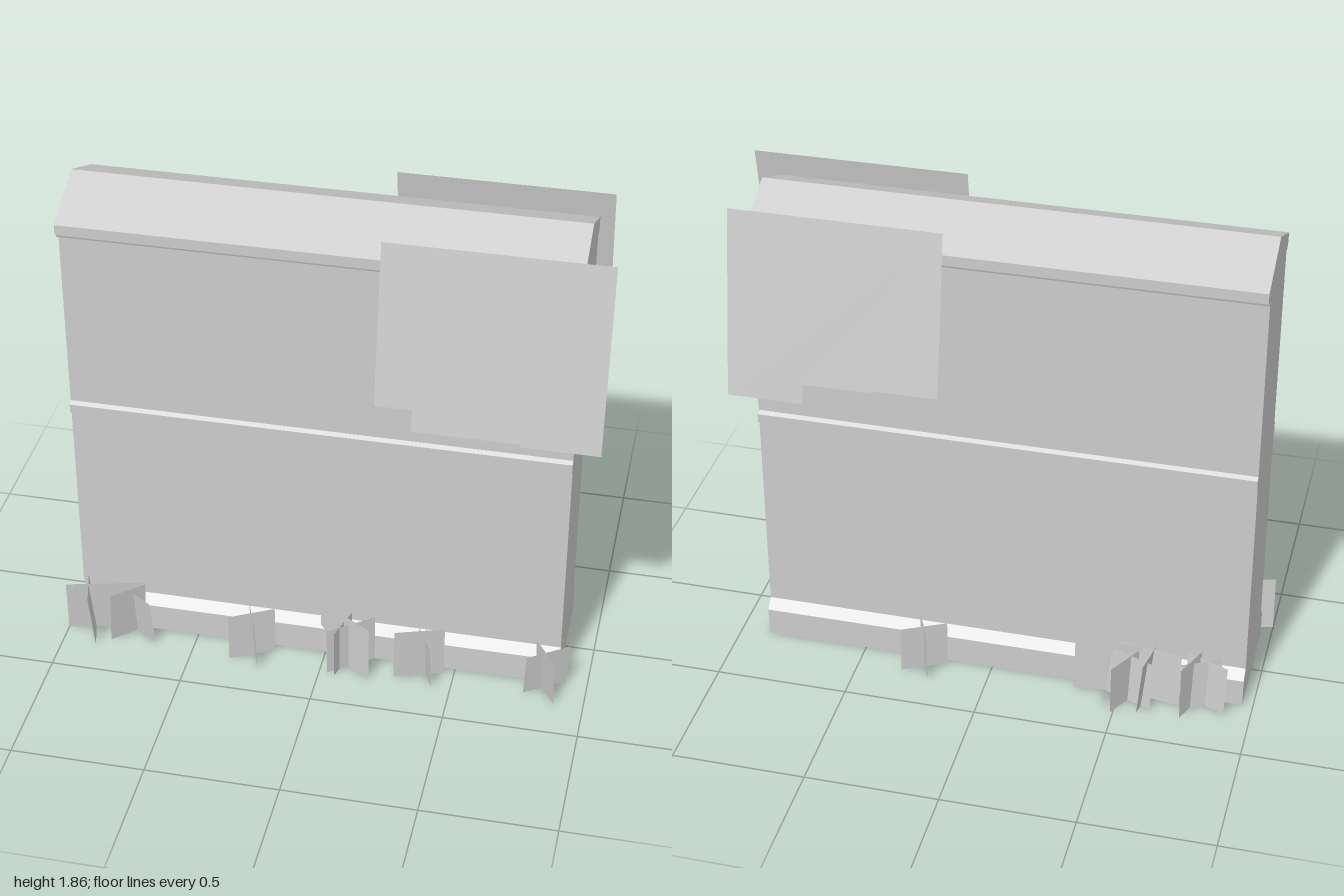
import * as THREE from 'three';

export function createModel() {
  const group = new THREE.Group();
  const stone = new THREE.MeshStandardMaterial({ color: 0xcccccc, side: THREE.DoubleSide });
  stone.name = 'pale grey';

  const add = (name, geometry, parent = group) => {
    const mesh = new THREE.Mesh(geometry, stone);
    mesh.name = name;
    parent.add(mesh);
    return mesh;
  };

  // Wall with plinth, band and gabled coping: half profile [z, y], mirrored and swept along x
  const half = [
    [0.22, 0], [0.22, 0.11], [0.185, 0.145],
    [0.185, 0.945], [0.2, 0.955], [0.2, 0.99], [0.185, 1.0],
    [0.185, 1.71], [0.21, 1.705], [0.215, 1.718], [0.225, 1.72], [0.225, 1.76],
  ];
  const profile = [...half, [0, 1.86], ...half.map(([z, y]) => [-z, y]).reverse()];
  const wall = new THREE.ExtrudeGeometry(
    new THREE.Shape(profile.map(([z, y]) => new THREE.Vector2(-z, y))),
    { depth: 1.85, bevelEnabled: false });
  wall.rotateY(Math.PI / 2).translate(-0.96, 0, 0);
  add('wall', wall);

  // Hanging ivy sheets: stepped outline in x and y, leaning out towards the bottom
  const ivySheet = (name, outline, side) => {
    const g = new THREE.ShapeGeometry(new THREE.Shape(outline.map(([x, y]) => new THREE.Vector2(x, y))));
    const p = g.attributes.position;
    for (let i = 0; i < p.count; i++) {
      p.setZ(i, side * (0.235 + (1.85 - p.getY(i)) * 0.17));
    }
    if (side < 0) g.setIndex([...g.index.array].reverse());
    g.computeVertexNormals();
    add(name, g);
  };
  ivySheet('frontIvy', [[0.2, 1.84], [0.2, 1.24], [0.335, 1.24], [0.335, 1.16],
    [0.72, 1.16], [0.72, 1.15], [1, 1.15], [1, 1.84]], 1);
  ivySheet('backIvy', [[0.165, 1.85], [0.165, 1.245], [0.4, 1.245], [0.4, 1.235],
    [0.66, 1.235], [0.66, 1.16], [0.94, 1.16], [0.94, 1.85]], -1);

  // Upright grass cards: [x1, z1, x2, z2, height, lean]
  const frontGrass = [
    [-1, 0.28, -0.72, 0.21, 0.22, 0.015], [-0.91, 0.21, -0.87, 0.36, 0.215, 0.02],
    [-0.82, 0.32, -0.71, 0.22, 0.22, 0.015], [-0.8, 0.2, -0.65, 0.3, 0.195, 0.02],
    [-0.35, 0.335, -0.19, 0.25, 0.2, 0], [-0.29, 0.21, -0.23, 0.37, 0.19, 0.01],
    [-0.02, 0.21, 0.19, 0.34, 0.23, 0], [0.03, 0.34, 0.19, 0.22, 0.2, 0],
    [0.06, 0.35, 0.1, 0.21, 0.2, 0],
    [0.28, 0.31, 0.46, 0.25, 0.22, 0.01], [0.37, 0.22, 0.43, 0.34, 0.18, 0.01],
    [0.77, 0.3, 0.92, 0.2, 0.18, 0.015], [0.81, 0.22, 0.89, 0.34, 0.2, 0.01],
  ];
  const backGrass = [
    [-0.9, -0.29, -0.74, -0.22, 0.2, 0.015], [-0.8, -0.22, -0.745, -0.35, 0.22, 0],
    [-0.88, -0.23, -0.74, -0.3, 0.2, 0.01], [-0.73, -0.28, -0.49, -0.24, 0.22, 0.015],
    [-0.63, -0.33, -0.43, -0.25, 0.2, 0.015], [-0.585, -0.36, -0.61, -0.22, 0.22, 0.02],
    [-0.46, -0.36, -0.44, -0.22, 0.2, 0.015], [-0.49, -0.38, -0.58, -0.22, 0.2, 0],
    [-0.33, -0.265, -0.64, -0.235, 0.22, 0],
    [0.17, -0.24, 0.33, -0.32, 0.19, 0], [0.22, -0.35, 0.28, -0.22, 0.2, 0],
  ];
  const grassRow = (name, cards) => {
    const row = new THREE.Group();
    row.name = name;
    for (const [x1, z1, x2, z2, height, lean] of cards) {
      const dx = x2 - x1, dz = z2 - z1, length = Math.hypot(dx, dz);
      const g = new THREE.PlaneGeometry(length, height).translate(0, height / 2, 0);
      g.rotateX(lean / height).rotateY(-Math.atan2(dz, dx));
      g.translate((x1 + x2) / 2, 0, (z1 + z2) / 2);
      add('grassCard', g, row);
    }
    group.add(row);
  };
  grassRow('frontGrass', frontGrass);
  grassRow('backGrass', backGrass);

  return group;
}
